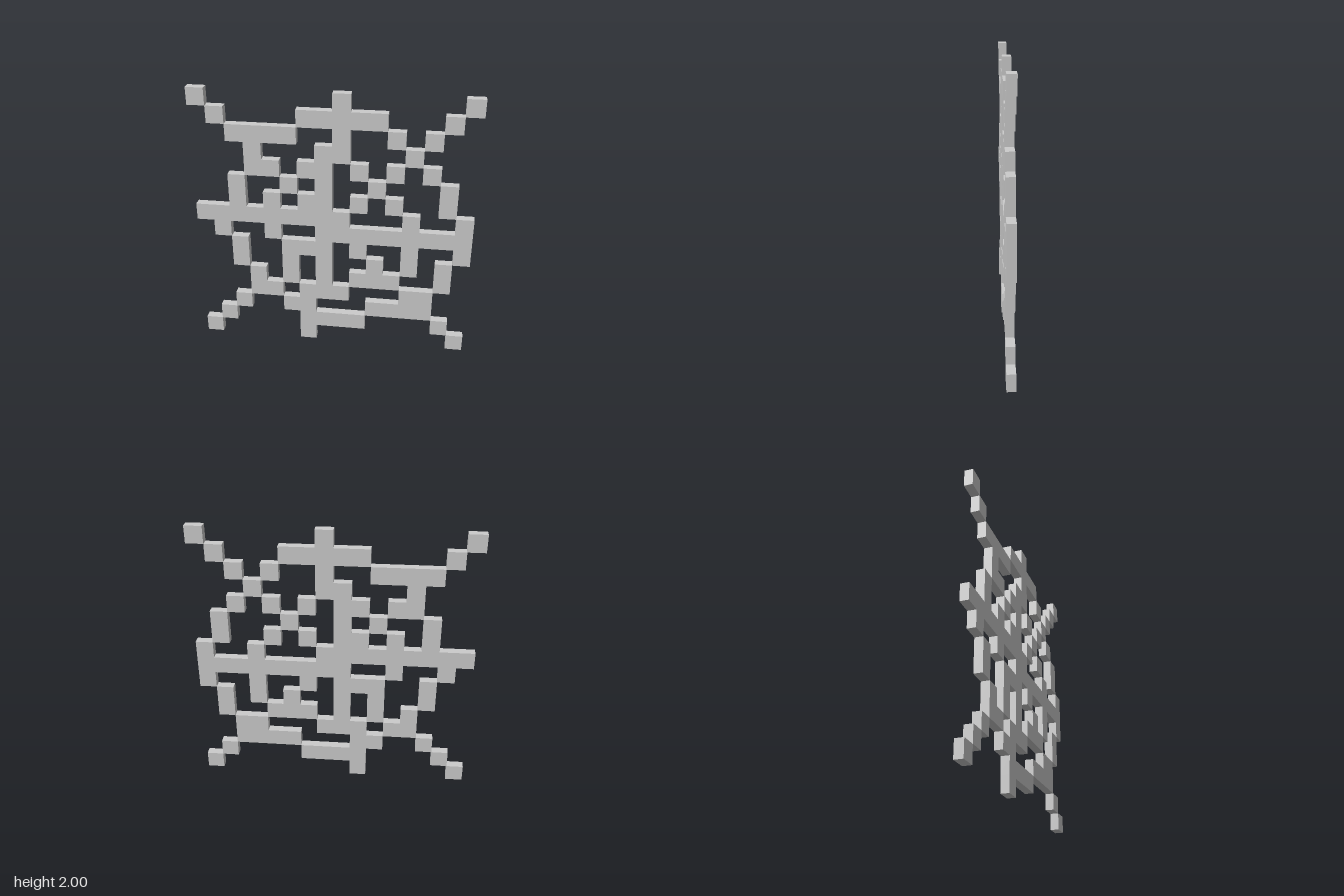
import * as THREE from 'three';

// Cell map of the panel, top row first: # is solid
const CELLS = [
  '#.......#......#',
  '.#....#####...#.',
  '..####..#..#.#..',
  '...#...##...#...',
  '...##.##.#.#.#..',
  '..#..#.#..#...#.',
  '..#.#.##.#.#..#.',
  '#########...#..#',
  '.#..#..#########',
  '..#..###.#..#..#',
  '..#..#.#..#.#.#.',
  '...#.#.#.###..#.',
  '...##.###...##..',
  '..#..##...####..',
  '.#....####....#.',
  '#.....#........#',
];
const N = CELLS.length;
const SIZE = 2 / N;
const HALF = SIZE / 4; // half of the panel thickness

const solid = (col, row) => CELLS[row]?.[col] === '#';
const xAt = (col) => -1 + col * SIZE;
const yAt = (row) => 2 - row * SIZE;

function panelGeometry() {
  const pos = [];
  // corners run counter-clockwise as seen from outside
  const quad = (a, b, c, d) => pos.push(...a, ...b, ...c, ...a, ...c, ...d);
  // edge wall from (x0, y0) to (x1, y1), the solid lying on the left of that direction
  const wall = (x0, y0, x1, y1) =>
    quad([x0, y0, HALF], [x0, y0, -HALF], [x1, y1, -HALF], [x1, y1, HALF]);

  for (let row = 0; row < N; row++) {
    for (let col = 0; col < N; col++) {
      if (!solid(col, row)) continue;
      const l = xAt(col), r = xAt(col + 1), t = yAt(row), b = yAt(row + 1);
      // front and back faces
      quad([l, b, HALF], [r, b, HALF], [r, t, HALF], [l, t, HALF]);
      quad([r, b, -HALF], [l, b, -HALF], [l, t, -HALF], [r, t, -HALF]);
      // walls only where the neighbouring cell is open
      if (!solid(col, row + 1)) wall(l, b, r, b);
      if (!solid(col + 1, row)) wall(r, b, r, t);
      if (!solid(col, row - 1)) wall(r, t, l, t);
      if (!solid(col - 1, row)) wall(l, t, l, b);
    }
  }
  const geometry = new THREE.BufferGeometry();
  geometry.setAttribute('position', new THREE.Float32BufferAttribute(pos, 3));
  geometry.computeVertexNormals();
  return geometry;
}

export function createModel() {
  const group = new THREE.Group();
  group.name = 'pixelLattice';
  const material = new THREE.MeshStandardMaterial({ color: 0xcccccc, flatShading: true });
  const panel = new THREE.Mesh(panelGeometry(), material);
  panel.name = 'latticePanel';
  group.add(panel);
  return group;
}
